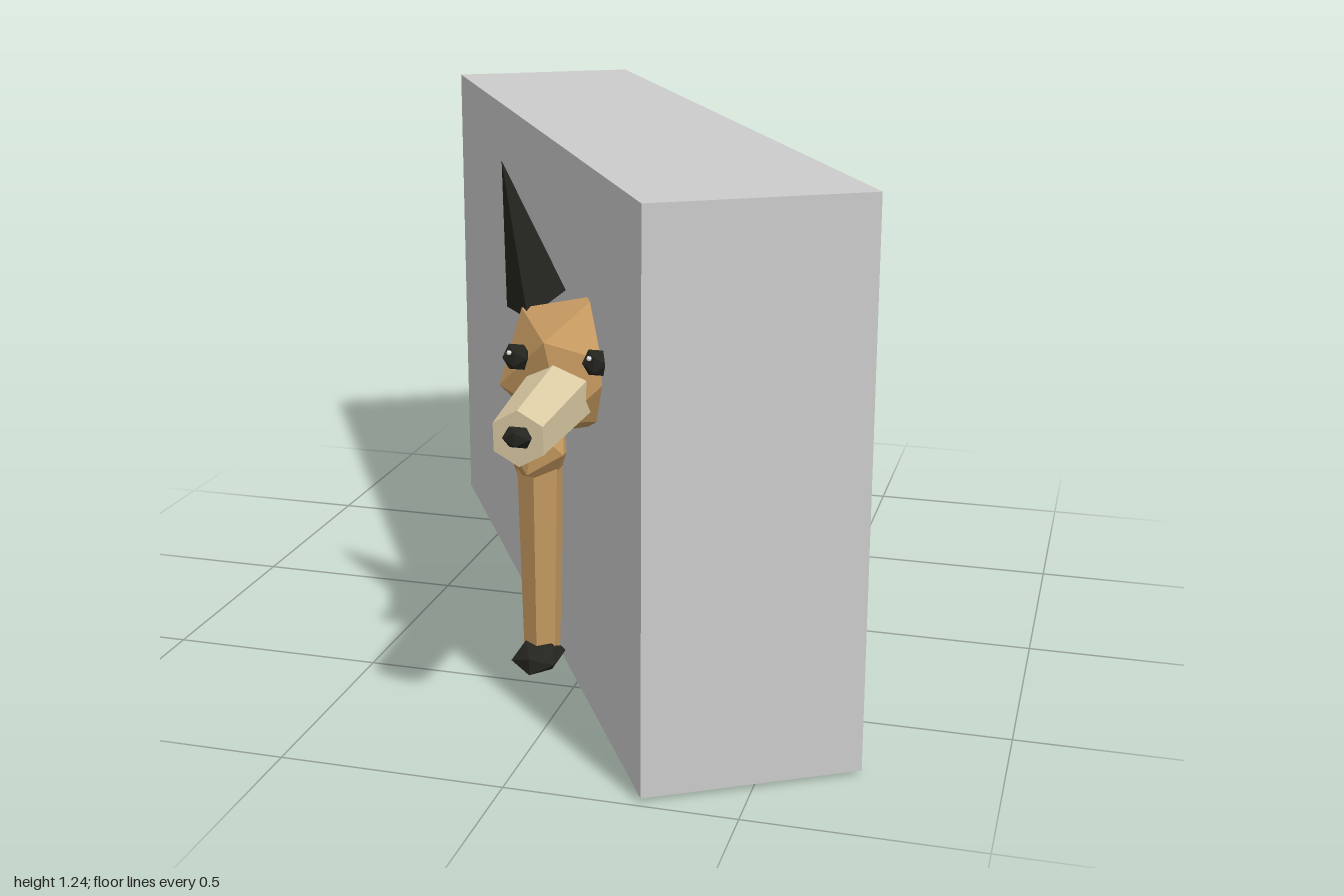
import * as THREE from 'three';

const mat = (name, color) => {
  const m = new THREE.MeshStandardMaterial({ color, flatShading: true });
  m.name = name;
  return m;
};

export function createModel() {
  const root = new THREE.Group();
  const tan = mat('tan fur', 0xc4985f);
  const cream = mat('cream fur', 0xdccba4);
  const dark = mat('dark', 0x24251f);
  const white = mat('eye glint', 0xf0f0f0);
  const grey = mat('grey block', 0xcccccc);
  const CX = 0.037; // middle plane of the animal

  const add = (name, geo, material, parent = root) => {
    const mesh = new THREE.Mesh(geo, material);
    mesh.name = name;
    parent.add(mesh);
    return mesh;
  };
  // faceted ball with its own scale per axis
  const gem = (name, material, pos, size, parent = root) => {
    const mesh = add(name, new THREE.IcosahedronGeometry(1, 0), material, parent);
    mesh.position.set(...pos);
    mesh.scale.set(...size);
    return mesh;
  };
  // tapered prism between two points
  const limb = (name, material, from, to, r0, r1, sides = 6, parent = root) => {
    const a = new THREE.Vector3(...from), b = new THREE.Vector3(...to);
    const dir = b.clone().sub(a);
    const mesh = add(name, new THREE.CylinderGeometry(r1, r0, dir.length(), sides), material, parent);
    mesh.position.copy(a).add(b).multiplyScalar(0.5);
    mesh.quaternion.setFromUnitVectors(new THREE.Vector3(0, 1, 0), dir.normalize());
    return mesh;
  };

  // Large block standing diagonally through the animal
  const block = add('block', new THREE.BoxGeometry(0.48, 1.23, 2), grey);
  block.position.y = 0.625;
  block.rotation.y = Math.PI / 6;

  const animal = new THREE.Group();
  animal.name = 'animal';
  animal.position.x = CX;
  root.add(animal);

  // Body: rings of [z, middle y, half width, half height] along the spine
  const rings = [[-0.45, 0.665, 0.05, 0.03], [-0.18, 0.68, 0.18, 0.125],
    [0, 0.68, 0.2, 0.13], [0.2, 0.685, 0.195, 0.13], [0.42, 0.68, 0.12, 0.1]];
  const N = 8, pos = [], idx = [];
  for (const [z, y, w, h] of rings)
    for (let i = 0; i < N; i++) {
      const a = (i + 0.5) / N * Math.PI * 2, k = 1 / Math.cos(Math.PI / N);
      pos.push(Math.cos(a) * w * k, y + Math.sin(a) * h * k, z);
    }
  for (let r = 0; r < rings.length - 1; r++)
    for (let i = 0; i < N; i++) {
      const a = r * N + i, b = r * N + (i + 1) % N;
      idx.push(a, b, b + N, a, b + N, a + N);
    }
  const last = (rings.length - 1) * N;
  for (let i = 1; i < N - 1; i++) idx.push(0, i + 1, i, last, last + i, last + i + 1);
  const bodyGeo = new THREE.BufferGeometry();
  bodyGeo.setAttribute('position', new THREE.Float32BufferAttribute(pos, 3));
  bodyGeo.setIndex(idx);
  bodyGeo.computeVertexNormals();
  add('body', bodyGeo, tan, animal);

  // Neck and head
  limb('neck', tan, [0, 0.67, 0.34], [0, 0.79, 0.58], 0.12, 0.1, 6, animal);
  const head = gem('head', tan, [0, 0.805, 0.6], [0.165, 0.165, 0.172], animal);
  head.rotation.z = 0.22;
  limb('muzzle', cream, [0, 0.772, 0.68], [0, 0.753, 0.972], 0.078, 0.06, 6, animal);
  gem('nose', dark, [0, 0.757, 0.972], [0.034, 0.026, 0.026], animal);

  // Eyes and three-sided ears
  for (const s of [-1, 1]) {
    gem('eye', dark, [s * 0.087, 0.848, 0.72], [0.032, 0.032, 0.025], animal);
    gem('eyeGlint', white, [s * 0.087 - 0.009, 0.862, 0.742], [0.006, 0.006, 0.006], animal);

    const A = [s * 0.187, 0.895, 0.49], B = [s * 0.055, 0.937, 0.475];
    const C = [s * 0.095, 0.905, 0.62], T = [s * 0.172, 1.23, 0.55];
    const tris = [[A, C, T], [C, B, T], [B, A, T], [A, B, C]];
    const earGeo = new THREE.BufferGeometry();
    earGeo.setAttribute('position', new THREE.Float32BufferAttribute(
      tris.flatMap(t => (s < 0 ? t : [...t].reverse()).flat()), 3));
    earGeo.computeVertexNormals();
    add('ear', earGeo, dark, animal);
  }

  // Four legs with knobbly joints and dark hooves
  for (const s of [-1, 1])
    for (const [name, z, hoofZ] of [['frontLeg', 0.385, 0.42], ['backLeg', -0.255, -0.235]]) {
      const leg = new THREE.Group();
      leg.name = name;
      leg.position.x = s * 0.148;
      animal.add(leg);
      gem('joint', tan, [0, 0.55, z], [0.083, 0.108, 0.09], leg).rotation.z = s * 0.15;
      limb('shin', tan, [0, 0.03, z + 0.008], [0, 0.52, z], 0.043, 0.056, 6, leg);
      gem('hoof', dark, [0, 0.033, hoofZ], [0.062, 0.038, 0.086], leg);
    }

  // Small dark patch on the rump
  gem('rumpPatch', dark, [0.075, 0.815, -0.25], [0.035, 0.015, 0.03], animal);

  // Tail with a pale tip
  limb('tail', tan, [0, 0.735, -0.445], [0, 0.64, -0.89], 0.107, 0.045, 6, animal);
  gem('tailTip', cream, [0, 0.637, -0.92], [0.076, 0.076, 0.092], animal);

  return root;
}
